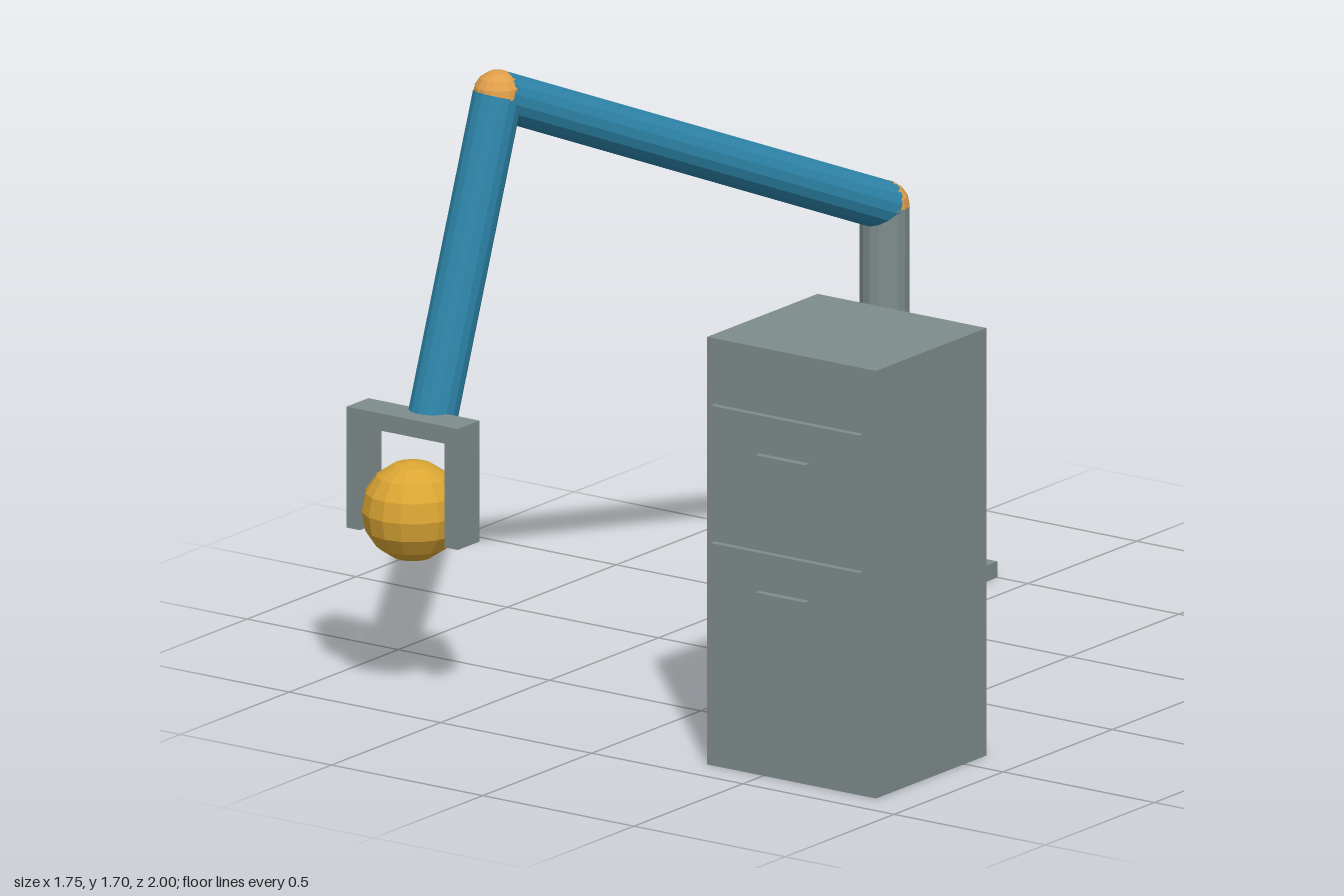
import * as THREE from 'three';

export function createModel() {
  const root = new THREE.Group();
  const mat = (name, color, flat = false) => {
    const m = new THREE.MeshStandardMaterial({ color });
    m.name = name;
    m.flatShading = flat;
    return m;
  };
  const grey = mat('steelGrey', 0x7f8c8d, true);
  const blue = mat('armBlue', 0x2e86ab, true);
  const orange = mat('jointOrange', 0xe09f4a, true);
  const gold = mat('ballGold', 0xdaa533, true);

  const add = (name, geometry, material, x, y, z, parent = root) => {
    const mesh = new THREE.Mesh(geometry, material);
    mesh.name = name;
    mesh.position.set(x, y, z);
    parent.add(mesh);
    return mesh;
  };
  // Box given by its extents along each axis
  const box = (name, [x0, x1], [y0, y1], [z0, z1], parent = root) =>
    add(name, new THREE.BoxGeometry(x1 - x0, y1 - y0, z1 - z0), grey,
      (x0 + x1) / 2, (y0 + y1) / 2, (z0 + z1) / 2, parent);
  // Round bar between two points
  const R = 0.068;
  const bar = (name, a, b, material) => {
    const dir = b.clone().sub(a);
    const mid = a.clone().add(b).multiplyScalar(0.5);
    const mesh = add(name, new THREE.CylinderGeometry(R, R, dir.length(), 16), material, mid.x, mid.y, mid.z);
    mesh.quaternion.setFromUnitVectors(new THREE.Vector3(0, 1, 0), dir.normalize());
  };
  const ball = (name, r, material, p) =>
    add(name, new THREE.SphereGeometry(r, 16, 8), material, p.x, p.y, p.z);

  // Robot arm: base, post, joints and two links
  const shoulder = new THREE.Vector3(-0.317, 1.055, -0.783);
  const elbow = new THREE.Vector3(-0.626, 1.63, 0.563);
  const wrist = new THREE.Vector3(-0.68, 0.745, 0.797);
  box('base', [-0.535, -0.1], [0, 0.045], [-1, -0.565]);
  bar('post', new THREE.Vector3(shoulder.x, 0.04, shoulder.z), shoulder, grey);
  ball('shoulderJoint', R, orange, shoulder);
  bar('upperArm', shoulder, elbow, blue);
  ball('elbowJoint', R, orange, elbow);
  bar('forearm', elbow, wrist, blue);

  // Gripper with two fingers around a ball
  const gripper = new THREE.Group();
  gripper.name = 'gripper';
  root.add(gripper);
  const gz = [0.808, 0.908];
  box('gripperBar', [-0.877, -0.509], [0.749, 0.797], gz, gripper);
  box('rightFinger', [-0.877, -0.833], [0.459, 0.749], gz, gripper);
  box('leftFinger', [-0.553, -0.509], [0.459, 0.749], gz, gripper);
  ball('heldBall', 0.138, gold, new THREE.Vector3(-0.693, 0.528, 0.861));

  // Cabinet with two drawers
  const cabinet = new THREE.Group();
  cabinet.name = 'cabinet';
  root.add(cabinet);
  box('cabinetBody', [0.314, 0.872], [0, 1.195], [0.399, 0.906], cabinet);
  for (const y of [0.484, 0.868]) {
    box('drawerFront', [0.347, 0.839], [y - 0.148, y + 0.148], [0.918, 0.937], cabinet);
    box('drawerHandle', [0.51, 0.675], [y + 0.018, y + 0.042], [0.937, 0.957], cabinet);
  }
  return root;
}
